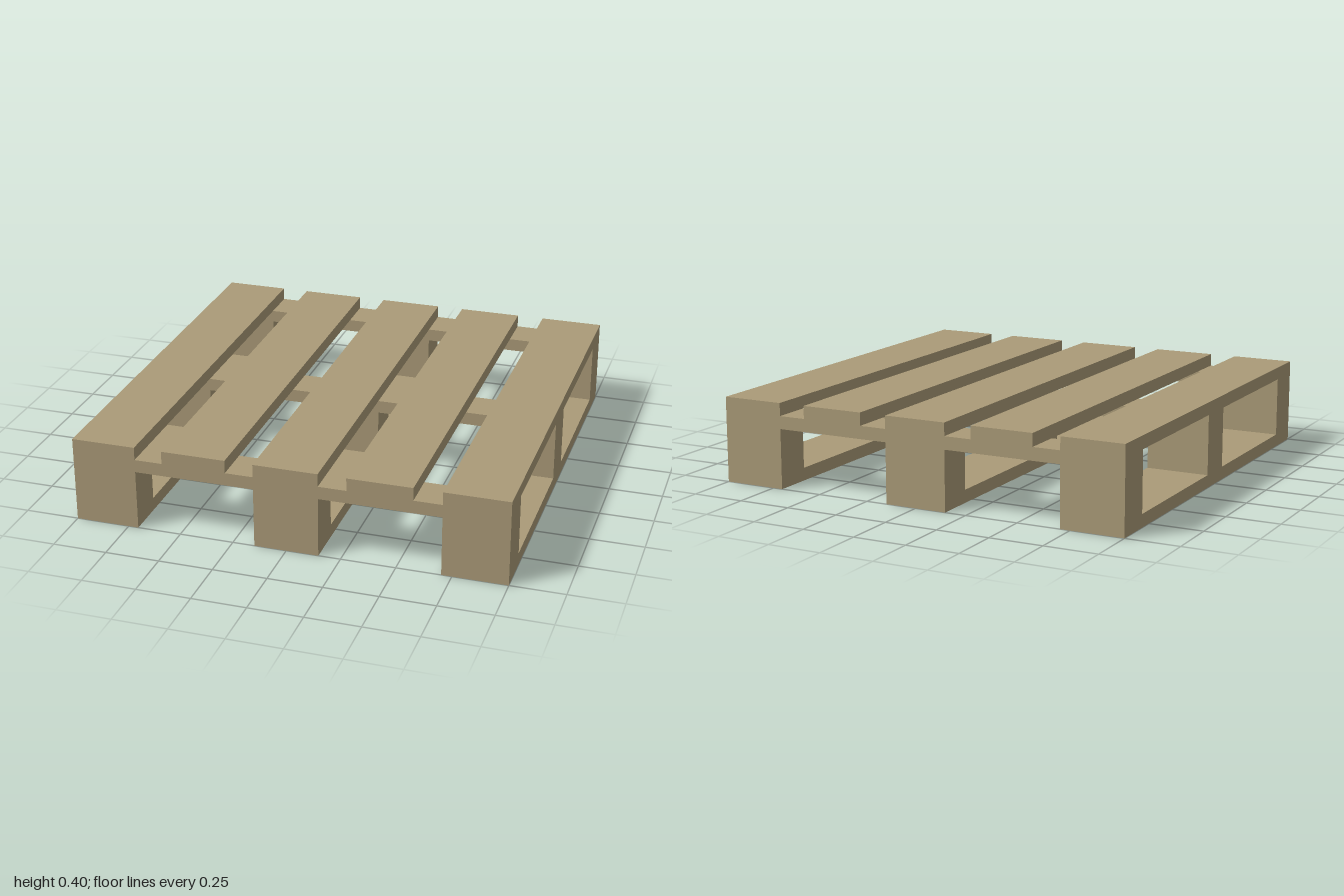
import * as THREE from 'three';

export function createModel() {
  const pallet = new THREE.Group();
  pallet.name = 'pallet';
  const wood = new THREE.MeshStandardMaterial({ color: 0xab9b78 });

  const boardWidth = 0.297; // deck boards, runners and blocks share this width
  const crossDepth = 0.178; // cross boards and blocks share this depth
  const thickness = 0.06;
  const blockHeight = 0.22;
  const outerX = 1 - boardWidth / 2;
  const outerZ = 1 - crossDepth / 2;

  function addBox(name, width, height, depth, x, bottom, z) {
    const mesh = new THREE.Mesh(new THREE.BoxGeometry(width, height, depth), wood);
    mesh.name = name;
    mesh.position.set(x, bottom + height / 2, z);
    pallet.add(mesh);
  }

  // Bottom runners with three spacer blocks each
  for (const x of [-outerX, 0, outerX]) {
    addBox('bottomRunner', boardWidth, thickness, 2, x, 0, 0);
    for (const z of [-outerZ, 0, outerZ]) {
      addBox('spacerBlock', boardWidth, blockHeight, crossDepth, x, thickness, z);
    }
  }

  // Cross boards resting on the blocks
  for (const z of [-outerZ, 0, outerZ]) {
    addBox('crossBoard', 2, thickness, crossDepth, 0, thickness + blockHeight, z);
  }

  // Five evenly spaced deck boards
  for (let i = -2; i <= 2; i++) {
    addBox('deckBoard', boardWidth, thickness, 2, (i * outerX) / 2, 2 * thickness + blockHeight, 0);
  }

  return pallet;
}
